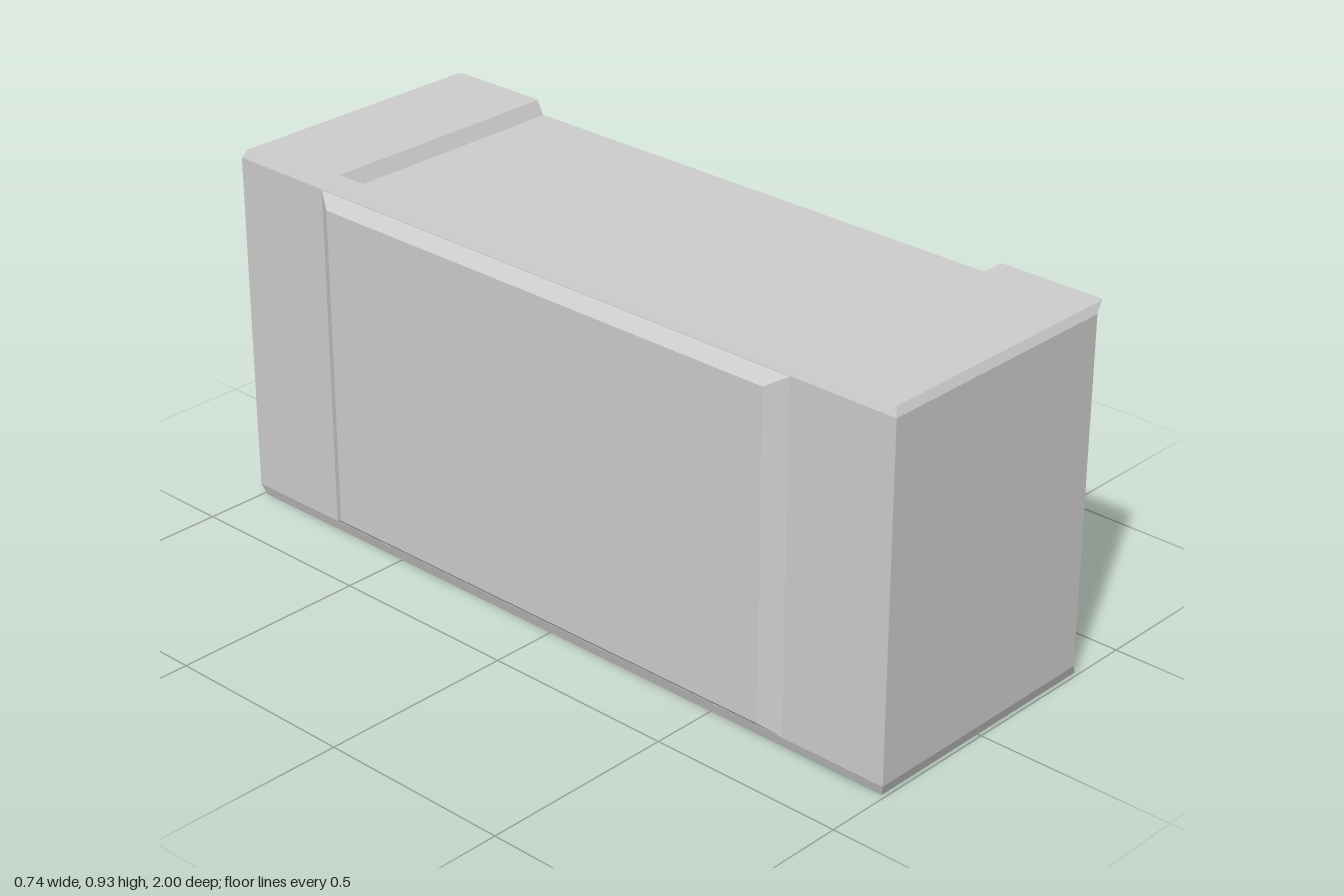
import * as THREE from 'three';

const material = new THREE.MeshStandardMaterial({ color: 0xcccccc, flatShading: true });

// Solid through matching convex cross-sections, with flat caps; always wound outwards.
function loft(rings) {
  const tris = [], n = rings[0].length, last = rings[rings.length - 1];
  for (let r = 0; r < rings.length - 1; r++) {
    const a = rings[r], b = rings[r + 1];
    for (let i = 0; i < n; i++) {
      const j = (i + 1) % n;
      tris.push([a[i], a[j], b[j]], [a[i], b[j], b[i]]);
    }
  }
  for (let i = 1; i < n - 1; i++) {
    tris.push([rings[0][0], rings[0][i + 1], rings[0][i]], [last[0], last[i], last[i + 1]]);
  }
  let volume = 0;
  for (const [a, b, c] of tris) {
    const v = a.map((q, k) => q - rings[0][0][k]);
    const w = b.map((q, k) => q - rings[0][0][k]);
    const u = c.map((q, k) => q - rings[0][0][k]);
    volume += new THREE.Vector3(...v).dot(new THREE.Vector3(...w).cross(new THREE.Vector3(...u)));
  }
  if (volume < 0) tris.forEach((t) => t.reverse());
  const geometry = new THREE.BufferGeometry();
  geometry.setAttribute('position', new THREE.Float32BufferAttribute(tris.flat(2), 3));
  geometry.computeVertexNormals();
  return geometry;
}

// Outline in x and y, run along the desk between the two pedestals.
function alongDesk(points) {
  const shape = new THREE.Shape(points.map(([x, y]) => new THREE.Vector2(x, y)));
  return new THREE.ExtrudeGeometry(shape, { depth: 1.44, bevelEnabled: false }).translate(0, 0, -0.72);
}

export function createModel() {
  const desk = new THREE.Group();
  desk.name = 'desk';
  const add = (name, geometry) => {
    const mesh = new THREE.Mesh(geometry, material);
    mesh.name = name;
    desk.add(mesh);
  };

  // Back wall with the rim behind the worktop
  add('backWall', alongDesk([
    [-0.33, 0], [-0.295, 0], [-0.295, 0.89], [-0.275, 0.89], [-0.285, 0.925],
    [-0.33, 0.925], [-0.34, 0.905], [-0.34, 0.03],
  ]));

  // Sunken worktop with a recessed apron below its front edge
  add('worktop', alongDesk([
    [-0.295, 0.65], [0.362, 0.65], [0.37, 0.658], [0.33, 0.67],
    [0.33, 0.88], [0.37, 0.89], [-0.295, 0.89],
  ]));

  // Raised bevelled panel on the back
  const panelRing = (x, z, y0, y1) => [[x, y0, -z], [x, y0, z], [x, y1, z], [x, y1, -z]];
  add('backPanel', loft([panelRing(-0.335, 0.725, 0.027, 0.908), panelRing(-0.37, 0.67, 0.06, 0.875)]));

  for (const s of [1, -1]) {
    const side = s > 0 ? 'front' : 'rear';

    // Pedestal: vertical chamfer on the outer corner, closing to a square corner at top and bottom
    const ring = (y, back, outer, a, b, front) => [
      [back, y, 0.72 * s], [back, y, outer * s], [a, y, outer * s],
      [front, y, b * s], [front, y, 0.728 * s], [front - 0.008, y, 0.72 * s],
    ];
    add(side + 'Pedestal', loft([
      ring(0, -0.33, 0.99, 0.355, 0.985, 0.36),
      ring(0.03, -0.34, 1, 0.335, 0.97, 0.37),
      ring(0.905, -0.34, 1, 0.335, 0.97, 0.37),
      ring(0.925, -0.33, 0.99, 0.36, 0.985, 0.37),
    ]));

    // Sloped rim beside the sunken worktop
    const rim = (x) => [[x, 0.885, 0.695 * s], [x, 0.925, 0.715 * s], [x, 0.925, 0.73 * s], [x, 0.885, 0.73 * s]];
    add(side + 'Rim', loft([rim(-0.29), rim(0.368)]));

    // Sloped cheek at the end of the apron
    const cheek = (y) => [[0.325, y, 0.675 * s], [0.33, y, 0.675 * s], [0.369, y, 0.722 * s], [0.325, y, 0.722 * s]];
    add(side + 'ApronCheek', loft([cheek(0.66), cheek(0.888)]));
  }
  return desk;
}
